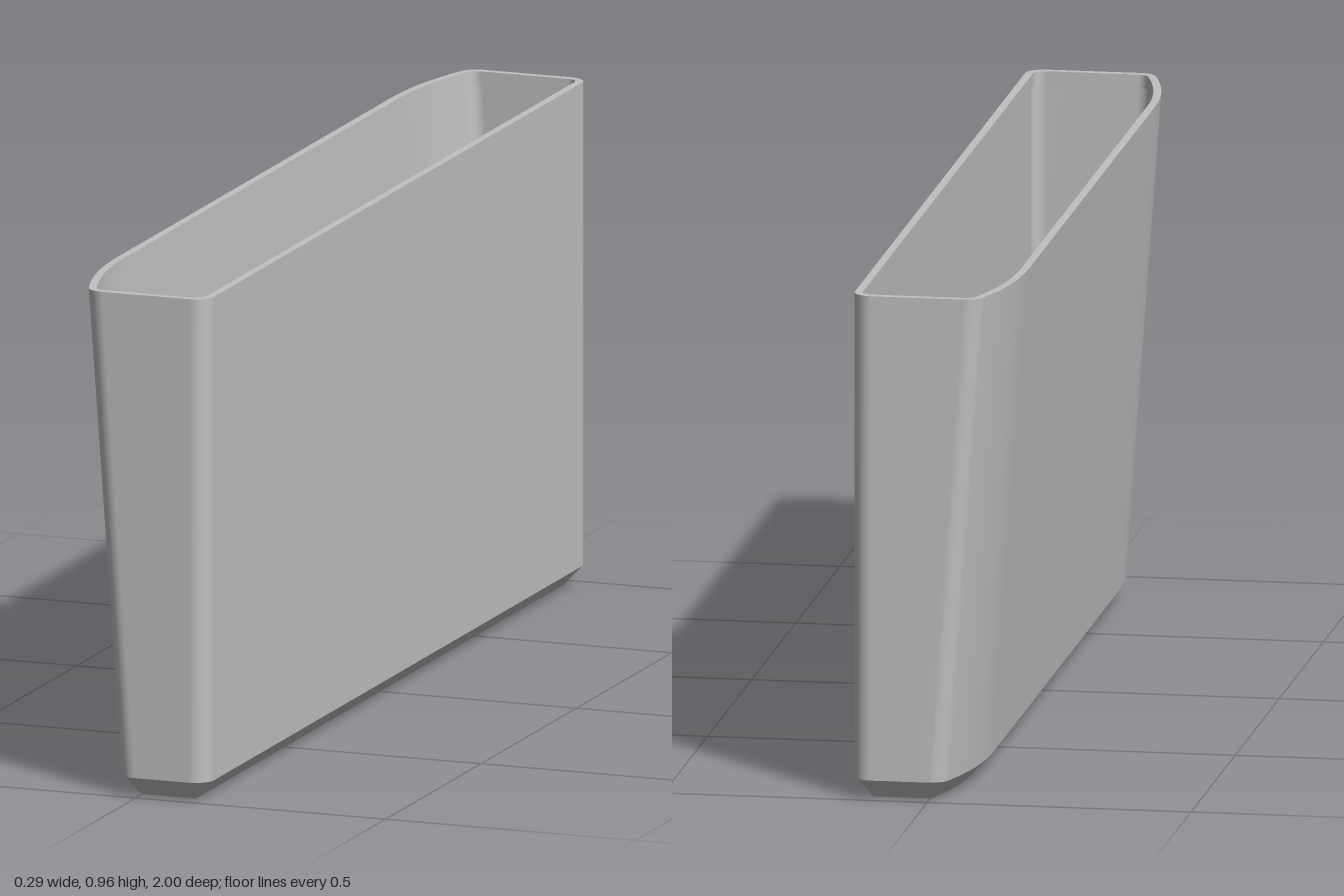
import * as THREE from 'three';

const HALF_Z = 1, RIGHT_X = 0.143, TOP = 0.965, CHAMFER_TOP = 0.038;
const R = 0.036;                       // corner radius, also the base chamfer
const BOW = 0.04, BOW_LENGTH = 0.244;  // how the sloping side curves in at its ends

// One side wall leans outward with height
const leanX = (y) => THREE.MathUtils.mapLinear(Math.max(y, CHAMFER_TOP), CHAMFER_TOP, TOP, -0.078, -0.145);

// Closed plan outline at height y: a sharp-cornered core grown outward by r
function ring(y, r, scale = 1) {
  const pts = [];
  const z1 = HALF_Z - R, x1 = RIGHT_X - R, x0 = leanX(y) + R;
  const put = (x, z, a) => pts.push([
    0.03 + (x + r * Math.cos(a) - 0.03) * scale, y, (z + r * Math.sin(a)) * scale]);
  const fan = (x, z, a0, a1) => {
    for (let i = 0; i <= 8; i++) put(x, z, a0 + (a1 - a0) * i / 8);
  };
  const arcR = (BOW_LENGTH ** 2 + BOW ** 2) / (2 * BOW);
  const sweep = Math.asin(BOW_LENGTH / arcR);
  const bow = (from, to) => {
    for (let i = 1; i <= 10; i++) {
      const t = from + (to - from) * i / 10;
      put(x0 + arcR * (1 - Math.cos(t)), Math.sign(from + to) * (z1 - BOW_LENGTH) + arcR * Math.sin(t), Math.PI - t);
    }
  };
  fan(x1, z1, 0, Math.PI / 2);
  fan(x0 + BOW, z1, Math.PI / 2, Math.PI - sweep);
  bow(sweep, 0);
  put(x0, -(z1 - BOW_LENGTH), Math.PI);
  bow(0, -sweep);
  fan(x0 + BOW, -z1, Math.PI + sweep, Math.PI * 1.5);
  fan(x1, -z1, Math.PI * 1.5, Math.PI * 2);
  return pts;
}

// Smooth strip between two outlines; separate strips keep their shared edge sharp
function band(a, b) {
  const n = a.length, index = [];
  for (let i = 0; i < n; i++) {
    const j = (i + 1) % n;
    index.push(i, n + i, j, j, n + i, n + j);
  }
  const g = new THREE.BufferGeometry();
  g.setAttribute('position', new THREE.Float32BufferAttribute([...a, ...b].flat(), 3));
  g.setIndex(index);
  g.computeVertexNormals();
  return g;
}

export function createModel() {
  const group = new THREE.Group();
  group.name = 'slimBin';
  const grey = new THREE.MeshStandardMaterial({ color: 0xc0c0c0 });
  grey.name = 'grey';

  const lip = R - 0.015, inner = R - 0.01, floorY = 0.013;
  // Each strip: name, lower outline, upper outline, going up the outside and down the inside
  const strips = [
    ['base', ring(0, 0, 0), ring(0, 0)],
    ['baseChamfer', ring(0, 0), ring(CHAMFER_TOP, R)],
    ['outerWall', ring(CHAMFER_TOP, R), ring(TOP, R)],
    ['rim', ring(TOP, R), ring(TOP, lip)],
    ['lipInside', ring(TOP, lip), ring(TOP - 0.025, lip)],
    ['lipUnderside', ring(TOP - 0.025, lip), ring(TOP - 0.025, inner)],
    ['innerWall', ring(TOP - 0.025, inner), ring(0.04, inner)],
    ['innerChamfer', ring(0.04, inner), ring(floorY, 0)],
    ['floor', ring(floorY, 0), ring(floorY, 0, 0)],
  ];
  for (const [name, a, b] of strips) {
    const mesh = new THREE.Mesh(band(a, b), grey);
    mesh.name = name;
    group.add(mesh);
  }
  return group;
}
